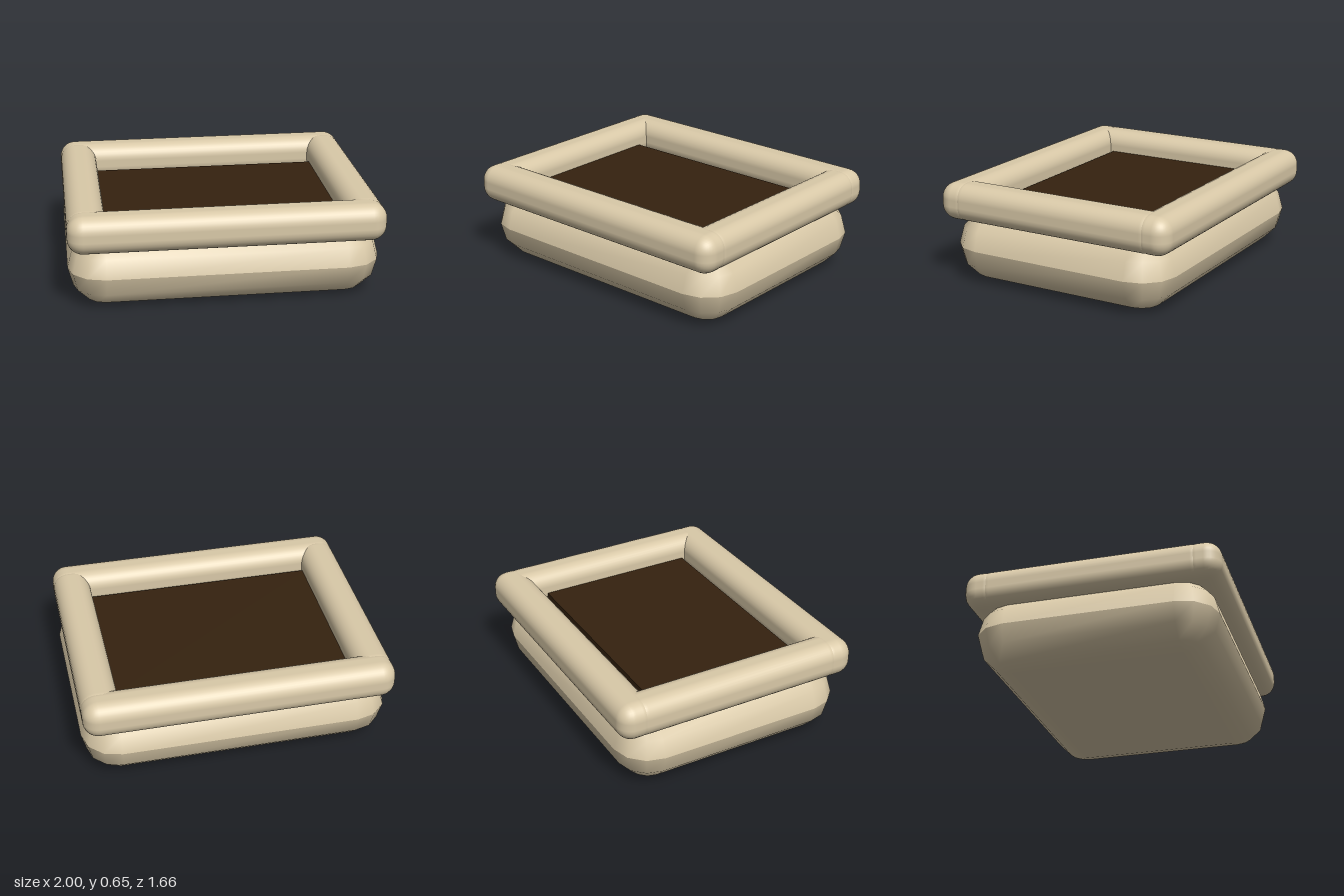
import * as THREE from 'three';
import { mergeVertices } from 'three/addons/utils/BufferGeometryUtils.js';
import { RoundedBoxGeometry } from 'three/addons/geometries/RoundedBoxGeometry.js';

const R = 0.235;            // body rounding, half its height
const HALF_X = 1, HALF_Z = 0.78;
const STEPS = 3;            // facets per quarter turn

// One ring of the body at latitude t: a rectangle with rounded corners
function bodyRing(t) {
  const points = [];
  for (let corner = 0; corner < 4; corner++) {
    const sx = corner === 0 || corner === 3 ? 1 : -1;
    const sz = corner < 2 ? 1 : -1;
    for (let k = 0; k <= STEPS; k++) {
      const a = (corner + k / STEPS) * Math.PI / 2;
      points.push([
        sx * (HALF_X - R) + R * Math.cos(t) * Math.cos(a),
        R + R * Math.sin(t),
        sz * (HALF_Z - R) + R * Math.cos(t) * Math.sin(a),
      ]);
    }
  }
  return points;
}

// Half of the body, closed by a flat cap; the halves meet in a sharp seam
function bodyHalf(upper) {
  const position = [], index = [];
  const n = 4 * (STEPS + 1);
  for (let i = 0; i <= STEPS; i++) {
    const t = (i / STEPS - (upper ? 0 : 1)) * Math.PI / 2;
    bodyRing(t).forEach(p => position.push(...p));
  }
  const centre = position.length / 3;
  position.push(0, upper ? 2 * R : 0, 0);
  for (let j = 0; j < n; j++) {
    const k = (j + 1) % n;
    for (let i = 0; i < STEPS; i++) {
      const a = i * n + j, b = i * n + k;
      index.push(a, a + n, b, b, a + n, b + n);
    }
    if (upper) index.push(centre, STEPS * n + k, STEPS * n + j);
    else index.push(centre, j, k);
  }
  const geometry = new THREE.BufferGeometry();
  geometry.setAttribute('position', new THREE.Float32BufferAttribute(position, 3));
  geometry.setIndex(index);
  const merged = mergeVertices(geometry, 1e-4);
  merged.computeVertexNormals();
  return merged;
}

export function createModel() {
  const model = new THREE.Group();
  model.name = 'planter';
  const clay = new THREE.MeshStandardMaterial({ color: 0xd9c9a8 });
  clay.name = 'beige clay';
  const earth = new THREE.MeshStandardMaterial({ color: 0x35220f });
  earth.name = 'dark soil';

  const add = (name, geometry, material, x = 0, y = 0, z = 0) => {
    const mesh = new THREE.Mesh(geometry, material);
    mesh.name = name;
    mesh.position.set(x, y, z);
    model.add(mesh);
  };

  // Pillow-shaped body
  add('bodyLower', bodyHalf(false), clay);
  add('bodyUpper', bodyHalf(true), clay);

  // Rim of four rounded rails
  const T = 0.245, railY = 0.527;
  const longRail = new RoundedBoxGeometry(2, T, T, 4, 0.1);
  const sideRail = new RoundedBoxGeometry(T, T, 1.5, 4, 0.1);
  for (const s of [1, -1]) {
    add(s > 0 ? 'frontRail' : 'backRail', longRail, clay, 0, railY, s * 0.71);
    add(s > 0 ? 'leftRail' : 'rightRail', sideRail, clay, s * 0.8775, railY, 0);
  }

  // Soil slab inside the rim
  add('soil', new THREE.BoxGeometry(1.54, 0.1, 1.075), earth, 0, 0.455, 0.028);
  return model;
}
